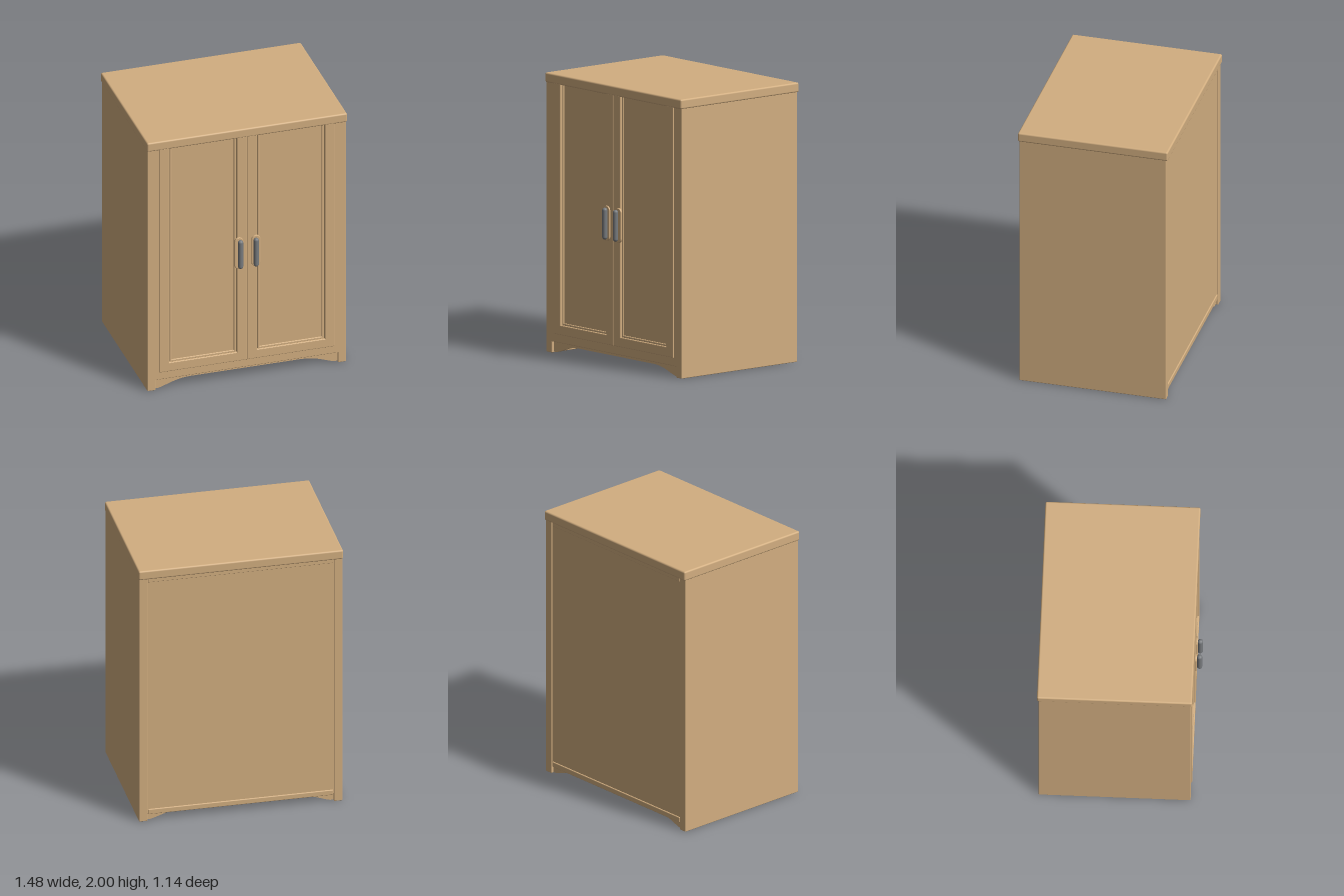
import * as THREE from 'three';
import { RoundedBoxGeometry } from 'three/addons/geometries/RoundedBoxGeometry.js';

const wood = new THREE.MeshStandardMaterial({ color: 0xd2ae80 });
wood.name = 'wood';
const metal = new THREE.MeshStandardMaterial({ color: 0x777a7d });
metal.name = 'greyMetal';

export function createModel() {
  const model = new THREE.Group();
  model.name = 'cabinet';

  const add = (name, geometry, material, x = 0, y = 0, z = 0) => {
    const mesh = new THREE.Mesh(geometry, material);
    mesh.name = name;
    mesh.position.set(x, y, z);
    model.add(mesh);
    return mesh;
  };
  // Wooden box given by its limits on each axis
  const block = (name, [x0, x1], [y0, y1], [z0, z1], radius = 0) => {
    const size = [x1 - x0, y1 - y0, z1 - z0];
    const geometry = radius
      ? new RoundedBoxGeometry(...size, 3, radius)
      : new THREE.BoxGeometry(...size);
    return add(name, geometry, wood, (x0 + x1) / 2, (y0 + y1) / 2, (z0 + z1) / 2);
  };
  // Outline extruded between two z values with an inward bevel
  const slab = (shape, z0, z1, bevel) => {
    const geometry = new THREE.ExtrudeGeometry(shape, {
      depth: z1 - z0 - 2 * bevel, curveSegments: 12,
      bevelEnabled: bevel > 0, bevelSize: bevel, bevelThickness: bevel,
      bevelOffset: -bevel, bevelSegments: 3,
    });
    return geometry.translate(0, 0, z0 + bevel);
  };
  const outline = (points) => new THREE.Shape(points.map(([x, y]) => new THREE.Vector2(x, y)));

  // Carcass
  block('top', [-0.74, 0.74], [1.93, 2], [-0.57, 0.525], 0.012);
  block('floor', [-0.67, 0.67], [0.085, 0.12], [-0.54, 0.5]);
  block('backPanel', [-0.68, 0.68], [0.06, 1.94], [-0.548, -0.53]);
  block('backTopRail', [-0.67, 0.67], [1.9, 1.94], [-0.556, -0.53], 0.004);
  block('backBottomRail', [-0.67, 0.67], [0.05, 0.09], [-0.556, -0.52], 0.006);
  block('frontBottomRail', [-0.68, 0.68], [0.08, 0.15], [0.47, 0.515], 0.006);
  block('doorPanels', [-0.65, 0.65], [0.13, 1.94], [0.47, 0.503]);

  // Arched aprons under the front and back
  const arch = outline([[0.68, 0.1], [-0.68, 0.1], [-0.68, 0.005]]);
  arch.lineTo(-0.65, 0.005);
  arch.bezierCurveTo(-0.57, 0.025, -0.52, 0.062, -0.4, 0.062);
  arch.lineTo(0.4, 0.062);
  arch.bezierCurveTo(0.52, 0.062, 0.57, 0.025, 0.65, 0.005);
  arch.lineTo(0.68, 0.005);
  add('frontApron', slab(arch, 0.46, 0.495, 0), wood);
  add('backApron', slab(arch, -0.54, -0.505, 0), wood);

  for (const side of [-1, 1]) {
    const span = (a, b) => (side > 0 ? [a, b] : [-b, -a]);
    const label = side > 0 ? 'left' : 'right';
    block(label + 'Side', span(0.675, 0.735), [0, 1.94], [-0.558, 0.515], 0.005);
    block(label + 'FrontPost', span(0.645, 0.7), [0.08, 1.94], [0.47, 0.515], 0.004);

    // Door frame, open upwards to the cabinet top
    const frame = [[0, 0.14], [0.65, 0.14], [0.65, 1.94], [0.575, 1.94],
      [0.575, 0.21], [0.075, 0.21], [0.075, 1.94], [0, 1.94]];
    const points = frame.map(([x, y]) => [side * x, y]);
    if (side < 0) points.reverse();
    add(label + 'DoorFrame', slab(outline(points), 0.48, 0.523, 0.006), wood);

    // Sloped moulding around the recessed panel
    const sloped = outline([[0.57, 1.94], [0.57, 0.205], [0.08, 0.205], [0.08, 1.94],
      [0.095, 1.94], [0.095, 0.225], [0.555, 0.225], [0.555, 1.94]]
      .map(([x, y]) => [side * x, y]));
    add(label + 'DoorMoulding', slab(sloped, 0.49, 0.511, 0.006), wood);

    // Handle with a rounded backplate
    const plate = new THREE.Shape();
    plate.absarc(0, 0.093, 0.032, 0, Math.PI);
    plate.absarc(0, -0.093, 0.032, Math.PI, Math.PI * 2);
    add(label + 'HandlePlate', slab(plate, 0.518, 0.534, 0.005), wood, side * 0.063, 1.01, 0);
    add(label + 'HandleBar', new THREE.CapsuleGeometry(0.019, 0.19, 8, 20), metal,
      side * 0.058, 1.01, 0.551);
  }
  return model;
}
